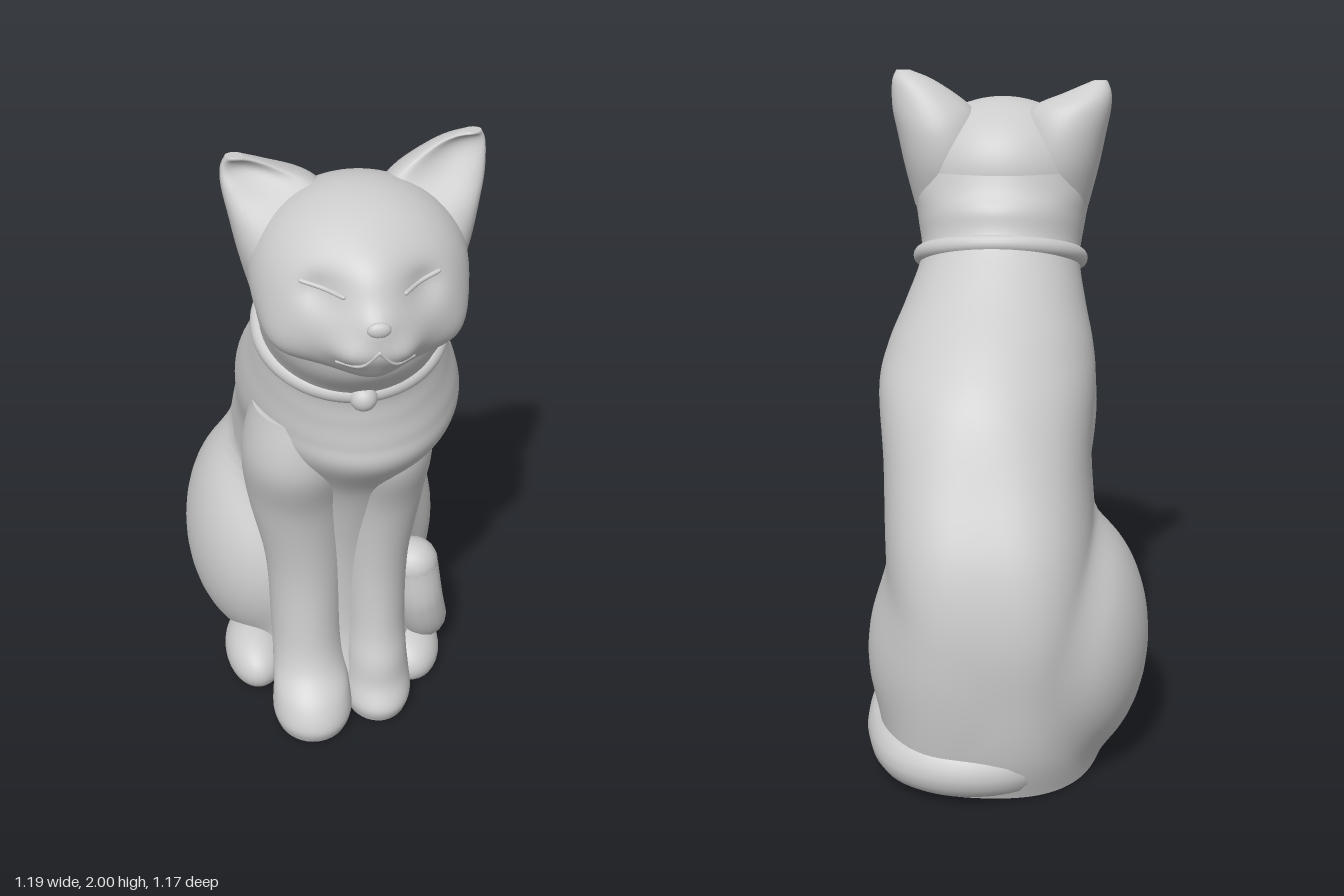
import * as THREE from 'three';
import { mergeVertices } from 'three/addons/utils/BufferGeometryUtils.js';

const material = new THREE.MeshStandardMaterial({ color: 0xcccccc });

function mesh(name, geometry) {
  const m = new THREE.Mesh(geometry, material);
  m.name = name;
  return m;
}

// Smooth closed sphere whose points are placed by a rule; nothing goes below the ground
function sculpt(name, rule, w = 48, h = 32) {
  let g = new THREE.SphereGeometry(1, w, h);
  g.deleteAttribute('uv');
  g.deleteAttribute('normal');
  g = mergeVertices(g, 1e-4);
  const pos = g.attributes.position, v = new THREE.Vector3();
  for (let i = 0; i < pos.count; i++) {
    const p = rule(v.fromBufferAttribute(pos, i));
    pos.setXYZ(i, p.x, Math.max(0, p.y), p.z);
  }
  g.computeVertexNormals();
  return mesh(name, g);
}

const ellipsoid = (name, c, r) => sculpt(name, d =>
  new THREE.Vector3(c[0] + d.x * r[0], c[1] + d.y * r[1], c[2] + d.z * r[2]), 32, 24);

// Loft through sections [y, x, z, radiusX, radiusZ, tilt, frontTaper, rearSquareness]
function loft(name, sections, around = 48, steps = 6, bend = null) {
  const pos = [], idx = [], rows = (sections.length - 1) * steps;
  const at = i => sections[Math.min(Math.max(i, 0), sections.length - 1)];
  for (let r = 0; r <= rows; r++) {
    const k = Math.min(Math.floor(r / steps), sections.length - 2), t = r / steps - k;
    const s = at(k).map((b, j) => {
      const a = at(k - 1)[j], c = at(k + 1)[j], d = at(k + 2)[j];
      return b + 0.5 * t * (c - a + t * (2 * a - 5 * b + 4 * c - d + t * (3 * (b - c) + d - a)));
    });
    const [y, x, z, rx, rz, tilt = 0, taper = 0, square = 0] = s;
    for (let i = 0; i < around; i++) {
      const a = i / around * Math.PI * 2, u = Math.sin(a), f = Math.cos(a);
      const q = f < 0 ? 1 + square * (2 * u * f) ** 2 : 1;
      const p = [x + u * rx * q * (1 - taper * Math.max(0, f)), y - tilt * f * rz, z + f * rz * q];
      if (bend) bend(p, x, z, f, r / rows);
      pos.push(...p);
    }
  }
  for (let r = 0; r < rows; r++) for (let i = 0; i < around; i++) {
    const a = r * around + i, b = r * around + (i + 1) % around;
    idx.push(a, b, b + around, a, b + around, a + around);
  }
  // separate rings keep the end caps flat
  for (const r of [0, rows]) {
    const start = pos.length / 3;
    pos.push(...pos.slice(r * around * 3, (r + 1) * around * 3));
    for (let i = 1; i < around - 1; i++)
      idx.push(start, start + (r ? i : i + 1), start + (r ? i + 1 : i));
  }
  const g = new THREE.BufferGeometry();
  g.setAttribute('position', new THREE.Float32BufferAttribute(pos, 3));
  g.setIndex(idx);
  g.computeVertexNormals();
  return mesh(name, g);
}

// Haunches [centre, radii]; the right one spreads wider
const haunches = [
  [[-0.2, 0.36, -0.18], [0.275, 0.4, 0.38]],
  [[0.07, 0.34, -0.26], [0.295, 0.39, 0.35]],
];

// Swell a torso point outwards so the haunches melt into the body
function swell(p, x, z) {
  let dist = Math.hypot(p[0] - x, p[2] - z);
  const dx = (p[0] - x) / dist, dz = (p[2] - z) / dist, soft = 0.05;
  for (const [c, r] of haunches) {
    const q2 = 1 - ((p[1] - c[1]) / r[1]) ** 2;
    if (q2 <= 0) continue;
    const ox = (x - c[0]) / r[0], oz = (z - c[2]) / r[2], ux = dx / r[0], uz = dz / r[2];
    const A = ux * ux + uz * uz, B = ox * ux + oz * uz, D = B * B - A * (ox * ox + oz * oz - q2);
    if (D <= 0) continue;
    const exit = (-B + Math.sqrt(D)) / A;
    const h = Math.max(0, 1 - Math.abs(exit - dist) / soft);
    dist = Math.max(exit, dist) + h * h * soft / 4;
  }
  p[0] = x + dx * dist;
  p[2] = z + dz * dist;
}

// Round bar along a smooth path, with ball ends
function bar(name, points, radius, segments = 48) {
  const g = new THREE.Group();
  g.name = name;
  const path = new THREE.CatmullRomCurve3(points.map(p => p.isVector3 ? p : new THREE.Vector3(...p)));
  g.add(mesh(name + 'Length', new THREE.TubeGeometry(path, segments, radius, 16)));
  for (const t of [0, 1]) {
    const ball = mesh(name + 'End', new THREE.SphereGeometry(radius, 16, 12));
    ball.position.copy(path.getPoint(t));
    g.add(ball);
  }
  return g;
}

// Head surface: an ellipsoid pushed and pressed by soft bumps
// [direction x, y, z, falloff, push x, y, z]
const bumps = [
  [0, -0.2, 0.98, 0.18, 0, 0, 0.065],        // muzzle
  [0, -0.68, 0.73, 0.12, 0, -0.01, 0.06],    // chin
  [0, 0.02, 1, 0.02, 0, 0.005, 0.015],       // nose
  [0, 0.45, 0.88, 0.1, 0, 0.01, 0.02],       // brow
];
for (const s of [-1, 1]) bumps.push(
  [s * 0.46, 0.24, 0.86, 0.04, 0, 0, -0.03],         // eye socket
  [s * 0.2, -0.3, 0.93, 0.03, s * 0.012, 0, 0.02],   // whisker pad
  [s * 0.7, -0.45, 0.55, 0.16, s * 0.03, -0.02, 0.025], // cheek
);
function headPoint(d) {
  const p = new THREE.Vector3(d.x * 0.285, 1.675 + d.y * 0.235, 0.415 + d.z * 0.275);
  for (const [x, y, z, w, px, py, pz] of bumps) {
    const g = Math.exp(-((d.x - x) ** 2 + (d.y - y) ** 2 + (d.z - z) ** 2) / w);
    p.x += px * g; p.y += py * g; p.z += pz * g;
  }
  return p;
}
const onHead = list => list.map(([x, y]) =>
  headPoint(new THREE.Vector3(x, y, Math.sqrt(1 - x * x - y * y))));

export function createModel() {
  const cat = new THREE.Group();
  cat.name = 'sittingCat';

  // Torso with haunches, rising through the chest to the neck
  cat.add(loft('body', [
    [0, 0, -0.1, 0.34, 0.47, 0, 0.2, 0.08],
    [0.12, 0, -0.13, 0.33, 0.48, 0, 0.2, 0.1],
    [0.28, -0.01, -0.16, 0.31, 0.47, 0, 0.2, 0.11],
    [0.5, -0.01, -0.165, 0.31, 0.475, 0, 0.2, 0.12],
    [0.7, 0, -0.13, 0.31, 0.47, 0, 0.18, 0.12],
    [0.9, 0.015, -0.05, 0.31, 0.455, 0, 0.12, 0.1],
    [1.08, 0.025, 0.06, 0.33, 0.46, 0.03, 0.04, 0.04],
    [1.19, 0.02, 0.125, 0.315, 0.4, 0.1, 0, 0],
    [1.3, 0.01, 0.21, 0.28, 0.31, 0.22, 0, 0],
    [1.42, 0, 0.29, 0.25, 0.24, 0.35, 0, 0],
    [1.53, 0, 0.355, 0.265, 0.27, 0.25, 0, 0],
    [1.63, 0, 0.385, 0.28, 0.26, 0.1, 0, 0],
    [1.76, 0, 0.39, 0.26, 0.225, 0, 0, 0],
  ], 96, 8, swell));

  // Hind feet
  cat.add(ellipsoid('rightHindFoot', [-0.28, 0.07, 0.11], [0.1, 0.1, 0.17]));
  cat.add(ellipsoid('leftHindFoot', [0.22, 0.04, 0.13], [0.11, 0.1, 0.16]));

  // Front legs, broad at the shoulder and flaring into paws; the left paw sits further back
  for (const [side, x, paw, r] of [['right', -0.125, 0.375, 0.125], ['left', 0.09, 0.315, 0.11]]) {
    cat.add(loft(side + 'FrontLeg', [
      [0, x, paw, r * 0.9, 0.125],
      [0.05, x, paw, r, 0.14],
      [0.12, x, paw - 0.02, r * 0.96, 0.125],
      [0.2, x, 0.28, r * 0.9, 0.125],
      [0.32, x, 0.235, r * 0.9, 0.135],
      [0.55, x, 0.215, r * 0.98, 0.14],
      [0.8, x * 1.15, 0.21, r * 1.22, 0.175],
      [1, x * 1.2, 0.26, r * 1.28, 0.19],
      [1.17, x * 1.1, 0.27, r * 1.1, 0.16],
    ], 40));
  }

  // Tail wrapping around the back and left side, its tip turned up
  cat.add(bar('tail', [
    [-0.2, 0.085, -0.4], [-0.06, 0.085, -0.53], [0.1, 0.085, -0.55], [0.22, 0.085, -0.485],
    [0.29, 0.08, -0.3], [0.3, 0.08, -0.05], [0.28, 0.14, 0.11], [0.25, 0.28, 0.17], [0.23, 0.42, 0.165],
  ], 0.08, 80));

  // Head with closed eyes and mouth line
  cat.add(sculpt('head', headPoint, 96, 64));
  for (const s of [-1, 1]) {
    const side = s < 0 ? 'right' : 'left';
    cat.add(bar(side + 'Eyelid', onHead([[s * 0.27, 0.25], [s * 0.42, 0.27], [s * 0.6, 0.32]]), 0.006, 16));
    cat.add(bar(side + 'MouthLine', onHead([[0, -0.22], [s * 0.12, -0.39], [s * 0.3, -0.42]]), 0.005, 16));

    // Ear: broad base, leaning outward, hollowed at the front
    const tip = s < 0 ? 1.965 : 1.995;
    cat.add(loft(side + 'Ear', [
      [1.58, s * 0.165, 0.35, 0.11, 0.11],
      [1.7, s * 0.175, 0.35, 0.13, 0.145],
      [1.8, s * 0.19, 0.345, 0.135, 0.14],
      [1.88, s * 0.215, 0.335, 0.125, 0.105],
      [tip - 0.035, s * 0.27, 0.33, 0.07, 0.055],
      [tip, s * 0.305, 0.335, 0.022, 0.018],
    ], 40, 6, (p, x, z, f, t) => {
      if (f > 0) p[2] -= f * f * 0.13 * Math.sin(Math.PI * Math.min(1, t * 1.05)) * t;
    }));
  }
  const nose = mesh('nose', new THREE.SphereGeometry(0.03, 20, 14));
  nose.scale.set(1, 0.7, 0.5);
  nose.position.copy(onHead([[0, 0.0]])[0]).add(new THREE.Vector3(0, 0, -0.008));
  cat.add(nose);

  // Collar sloping down to a small bell
  const ring = new THREE.TorusGeometry(1, 0.1, 16, 72);
  ring.rotateX(Math.PI / 2).scale(0.25, 0.27, 0.245).rotateX(0.34);
  const collar = mesh('collar', ring);
  collar.position.set(0, 1.42, 0.29);
  cat.add(collar);
  const bell = mesh('collarBell', new THREE.SphereGeometry(0.038, 24, 16));
  bell.position.set(0, 1.335, 0.535);
  cat.add(bell);

  // The cat looks out along the diagonal
  cat.rotation.y = Math.PI / 4;
  const model = new THREE.Group();
  model.name = 'catFigurine';
  model.add(cat);
  return model;
}
